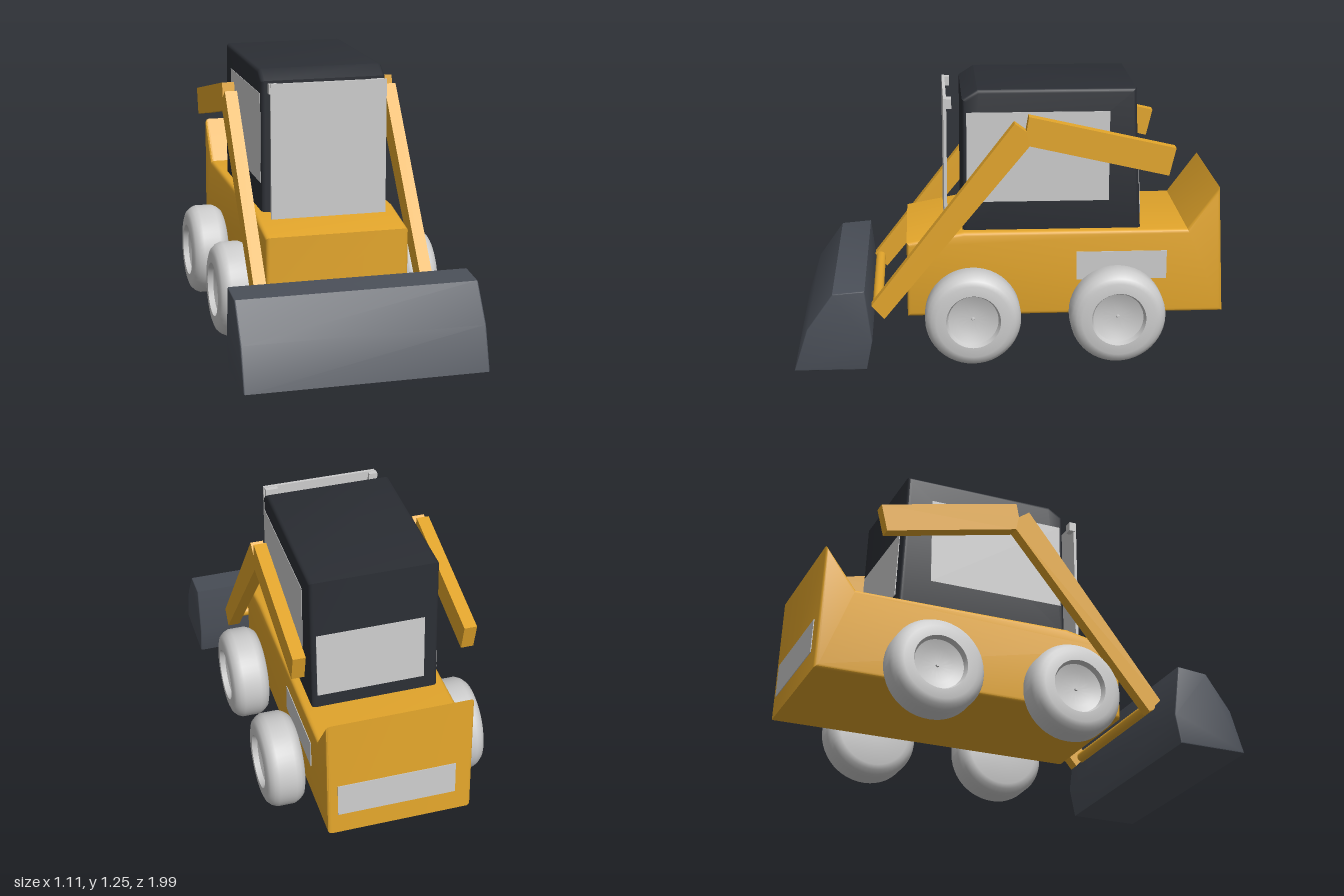
import * as THREE from 'three';
import { toCreasedNormals } from 'three/addons/utils/BufferGeometryUtils.js';

const mat = (color) => new THREE.MeshStandardMaterial({ color });

export function createModel() {
  const model = new THREE.Group();
  const yellow = mat(0xe2a52b);
  const dark = mat(0x2b2e34);
  const steel = mat(0x4a4f58);
  const grey = mat(0xcccccc);

  function add(name, geometry, material, x = 0, y = 0, z = 0) {
    const mesh = new THREE.Mesh(geometry, material);
    mesh.name = name;
    mesh.position.set(x, y, z);
    model.add(mesh);
    return mesh;
  }
  const box = (name, material, w, h, d, x, y, z) =>
    add(name, new THREE.BoxGeometry(w, h, d), material, x, y, z);

  // Side profile of [z, y] points, extruded across x and centred on x = 0
  function sideExtrude(points, width, bevel = 0) {
    const shape = new THREE.Shape(points.map(([z, y]) => new THREE.Vector2(z, y)));
    const geometry = new THREE.ExtrudeGeometry(shape, {
      depth: width - 2 * bevel,
      bevelEnabled: bevel > 0,
      bevelThickness: bevel,
      bevelSize: bevel,
      bevelOffset: -bevel,
      bevelSegments: 3,
    });
    geometry.translate(0, 0, -(width - 2 * bevel) / 2);
    geometry.rotateY(-Math.PI / 2);
    return toCreasedNormals(geometry, 0.6);
  }

  // Chassis with sloping nose and raised rear
  add('body', sideExtrude([
    [0.485, 0.19], [0.485, 0.545], [0.22, 0.595], [-0.815, 0.595],
    [-0.96, 0.79], [-0.99, 0.19],
  ], 0.67, 0.018), yellow);

  // Cab and its windows
  add('cab', sideExtrude([
    [0.225, 0.58], [0.225, 1.21], [0.155, 1.255], [-0.568, 1.255], [-0.6, 0.58],
  ], 0.59, 0.018), dark);
  for (const side of [-1, 1]) {
    box('sideWindow', grey, 0.006, 0.42, 0.655, side * 0.294, 0.94, -0.122);
  }
  box('rearWindow', grey, 0.5, 0.32, 0.008, 0.02, 0.82, -0.588).rotation.x = 0.05;

  // Front door panel with its two upper brackets
  box('frontDoor', grey, 0.545, 0.63, 0.014, 0.003, 0.895, 0.302);
  box('doorBracket', grey, 0.04, 0.045, 0.03, -0.255, 1.185, 0.287);
  box('doorBracket', grey, 0.06, 0.045, 0.03, 0.24, 1.185, 0.287);

  // Vents
  box('sideVent', grey, 0.008, 0.135, 0.42, 0.334, 0.427, -0.51);
  box('rearVent', grey, 0.545, 0.16, 0.008, 0.015, 0.372, -0.98).rotation.x = 0.05;

  // Lift arms
  const armGeometry = sideExtrude([
    [0.65, 0.275], [-0.008, 1.125], [-0.06, 1.087], [-0.072, 1.155],
    [-0.738, 1.003], [-0.708, 0.875], [-0.075, 1.02], [0.592, 0.21],
  ], 0.058);
  for (const side of [-1, 1]) add('liftArm', armGeometry, yellow, side * 0.387);

  const crossbar = new THREE.CylinderGeometry(0.024, 0.024, 0.74, 20);
  crossbar.rotateZ(Math.PI / 2);
  add('crossbar', crossbar, yellow, 0, 0.262, 0.622);

  // Bucket
  add('bucket', sideExtrude([
    [1.0, 0.018], [0.938, 0.215], [0.82, 0.382], [0.675, 0.395],
    [0.645, 0.155], [0.672, 0.018],
  ], 1.105, 0.006), steel);

  // Wheels: rounded tyre with a dished hub on the outer face
  const profile = [
    [0, 0], [0.17, 0], [0.193, 0.008], [0.21, 0.028], [0.22, 0.05],
    [0.22, 0.13], [0.21, 0.152], [0.193, 0.17], [0.17, 0.178], [0.125, 0.18],
    [0.115, 0.155], [0.08, 0.142], [0.04, 0.135], [0.008, 0.133],
    [0.006, 0.14], [0, 0.14],
  ].map(([r, h]) => new THREE.Vector2(r, h));
  const wheelGeometry = toCreasedNormals(new THREE.LatheGeometry(profile, 48), 0.7);
  for (const side of [-1, 1]) {
    for (const z of [0.185, -0.48]) {
      const wheel = add('wheel', wheelGeometry, grey, side * 0.345, 0.226, z);
      wheel.rotation.z = -side * Math.PI / 2;
    }
  }
  return model;
}
